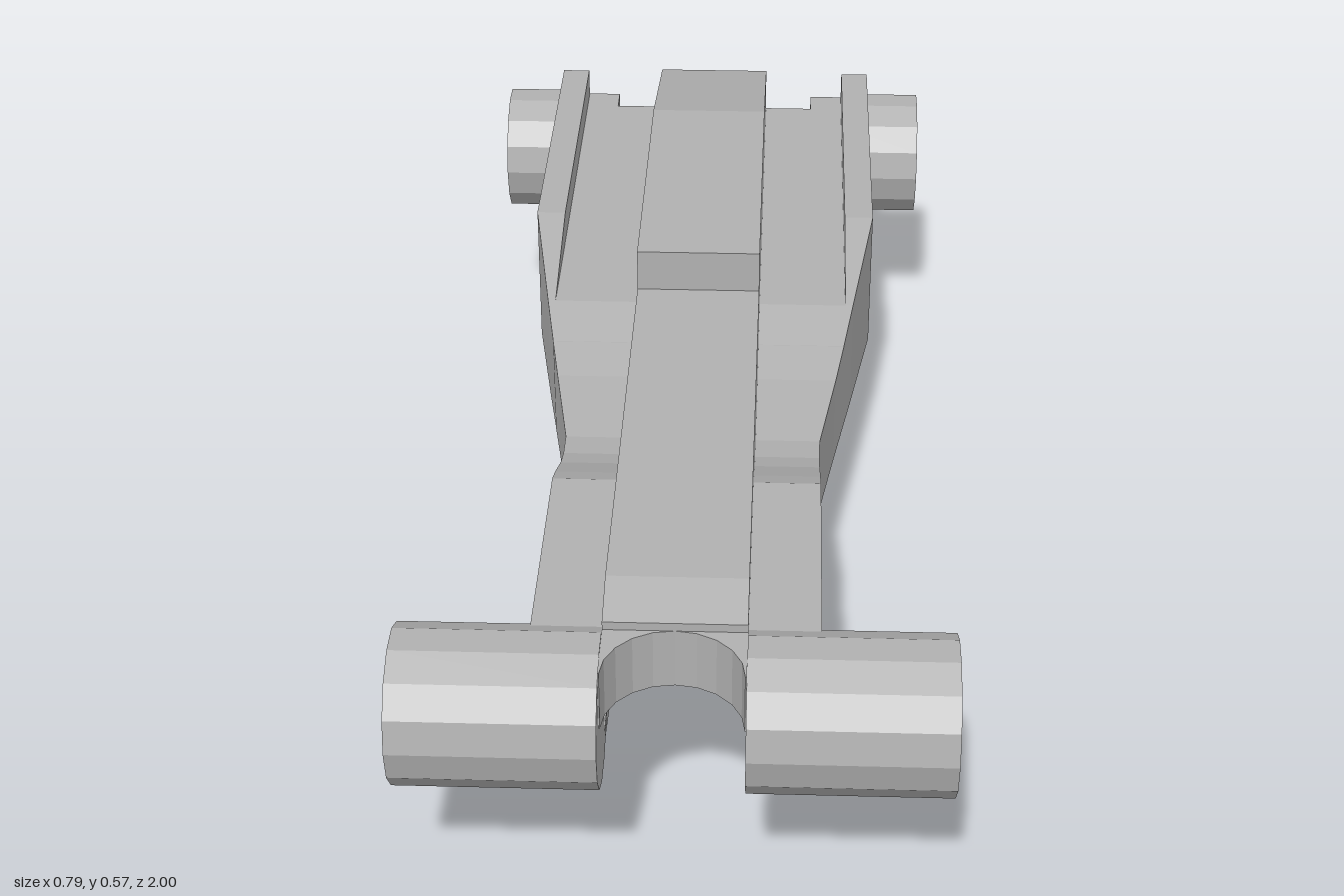
import * as THREE from 'three';

// Lofts closed clockwise loops (seen from +z) along z, with both ends capped
function loft(rings) {
  const pos = [];
  const put = (...pts) => pts.forEach((p) => pos.push(p.x, p.y, p.z));
  for (let i = 0; i < rings.length - 1; i++) {
    const a = rings[i], b = rings[i + 1];
    for (let j = 0; j < a.length; j++) {
      const k = (j + 1) % a.length;
      put(a[j], b[j], a[k], b[j], b[k], a[k]);
    }
  }
  const cap = (ring, facing) => {
    const flat = ring.map((p) => new THREE.Vector2(p.x, p.y));
    for (const [i, j, k] of THREE.ShapeUtils.triangulateShape(flat, [])) {
      const area = THREE.ShapeUtils.area([flat[i], flat[j], flat[k]]);
      if (area * facing > 0) put(ring[i], ring[j], ring[k]);
      else put(ring[i], ring[k], ring[j]);
    }
  };
  cap(rings[0], -1);
  cap(rings[rings.length - 1], 1);
  const g = new THREE.BufferGeometry();
  g.setAttribute('position', new THREE.Float32BufferAttribute(pos, 3));
  g.computeVertexNormals();
  return g;
}

// Half cross-section mirrored into a closed loop
function section([z, top, ledge, halfWidth, chamfer, bottom, channel]) {
  const rim = Math.min(0.25, halfWidth - 0.01);
  const groove = z < 0.2 ? Math.min(ledge, 0.42) : ledge;
  const half = [
    [0.102, top], [0.102, groove], [rim, groove], [rim, ledge],
    [halfWidth, ledge], [halfWidth, chamfer], [0.108, bottom],
    [0.095, Math.max(bottom, channel - 0.06)], [0.055, channel],
  ];
  const loop = [...half, ...half.slice().reverse().map(([x, y]) => [-x, y])];
  return loop.map(([x, y]) => new THREE.Vector3(x, y, z));
}

export function createModel() {
  const group = new THREE.Group();
  const metal = new THREE.MeshStandardMaterial({ color: 0xb0b0b0 });
  const add = (name, geometry) => {
    const flat = geometry.index ? geometry.toNonIndexed() : geometry;
    flat.computeVertexNormals();
    const mesh = new THREE.Mesh(flat, metal);
    mesh.name = name;
    group.add(mesh);
    return mesh;
  };
  const extrude = (shape, depth) =>
    new THREE.ExtrudeGeometry(shape, { depth, bevelEnabled: false, curveSegments: 10 });
  const polygon = (pts) => new THREE.Shape(pts.map(([x, y]) => new THREE.Vector2(x, y)));

  // Arm body: z, spine top, ledge, half width, chamfer start, bottom, channel roof
  add('armBody', loft([
    [-0.93, 0.5, 0.47, 0.3, 0.22, 0.078, 0.078],
    [-0.6, 0.57, 0.47, 0.3, 0.22, 0.078, 0.078],
    [-0.38, 0.57, 0.47, 0.3, 0.22, 0.077, 0.077],
    [-0.15, 0.57, 0.42, 0.263, 0.22, 0.076, 0.076],
    [-0.055, 0.57, 0.395, 0.247, 0.22, 0.076, 0.076],
    [-0.054, 0.5, 0.395, 0.247, 0.22, 0.076, 0.076],
    [0.03, 0.5, 0.378, 0.233, 0.22, 0.075, 0.075],
    [0.2, 0.5, 0.366, 0.206, 0.22, 0.075, 0.075],
    [0.26, 0.5, 0.373, 0.205, 0.22, 0.085, 0.085],
    [0.31, 0.5, 0.388, 0.205, 0.22, 0.1, 0.1],
    [0.4, 0.5, 0.43, 0.205, 0.22, 0.128, 0.128],
    [0.45, 0.5, 0.45, 0.205, 0.32, 0.137, 0.15],
    [0.6, 0.5, 0.45, 0.205, 0.31, 0.17, 0.3],
    [0.77, 0.5, 0.45, 0.205, 0.3, 0.2, 0.4],
    [0.85, 0.478, 0.45, 0.205, 0.3, 0.22, 0.41],
  ].map(section)));

  // Concave lip of the fork at the front of the spine
  const lip = new THREE.Shape();
  lip.moveTo(-0.102, -0.84);
  lip.lineTo(0.102, -0.84);
  lip.lineTo(0.102, -0.95);
  for (let i = 0; i <= 10; i++) {
    const a = (i / 10) * Math.PI;
    lip.lineTo(0.1 * Math.cos(a), -0.95 + 0.1 * Math.sin(a));
  }
  lip.lineTo(-0.102, -0.95);
  add('forkLip', extrude(lip, 0.095).rotateX(-Math.PI / 2).translate(0, 0.37, 0));

  // Pivot pins at both ends
  for (const [name, z, inner] of [['frontPivot', 0.885, 0.102], ['rearPivot', -0.875, 0.25]]) {
    for (const side of [-1, 1]) {
      const length = 0.395 - inner;
      const pin = new THREE.CylinderGeometry(0.115, 0.115, length, 14);
      pin.rotateZ(Math.PI / 2).translate(side * (inner + length / 2), 0.355, z);
      add(name + (side > 0 ? 'Left' : 'Right'), pin);
    }
  }

  // Rear collar with a round seat open at the top
  const collar = polygon([[-0.3, 0.47], [-0.3, 0.22], [-0.108, 0.078],
    [0.205, 0.078], [0.3, 0.15], [0.3, 0.47], [0.25, 0.47], [0.25, 0.42], [0.19, 0.42]]);
  for (let i = 0; i <= 14; i++) {
    const a = -(i / 14) * Math.PI;
    collar.lineTo(0.19 * Math.cos(a), 0.3 + 0.19 * Math.sin(a));
  }
  collar.lineTo(-0.19, 0.42);
  collar.lineTo(-0.25, 0.42);
  collar.lineTo(-0.25, 0.47);
  add('rearCollar', extrude(collar, 0.055).translate(0, 0, -0.985));

  // Foot hanging below the left rear corner
  const foot = polygon([[0.3, 0.24], [0.2, 0.24], [0.205, 0.03], [0.25, 0], [0.3, 0]]);
  add('rearFoot', extrude(foot, 0.215).translate(0, 0, -0.985));

  // Slanted key on the collar and small side stop
  const key = add('collarKey', new THREE.BoxGeometry(0.165, 0.075, 0.075));
  key.position.set(-0.11, 0.2, -0.9625);
  key.rotation.z = -Math.PI / 4;
  const stop = add('sideStop', new THREE.BoxGeometry(0.03, 0.06, 0.13));
  stop.position.set(-0.305, 0.25, -0.9);

  return group;
}
